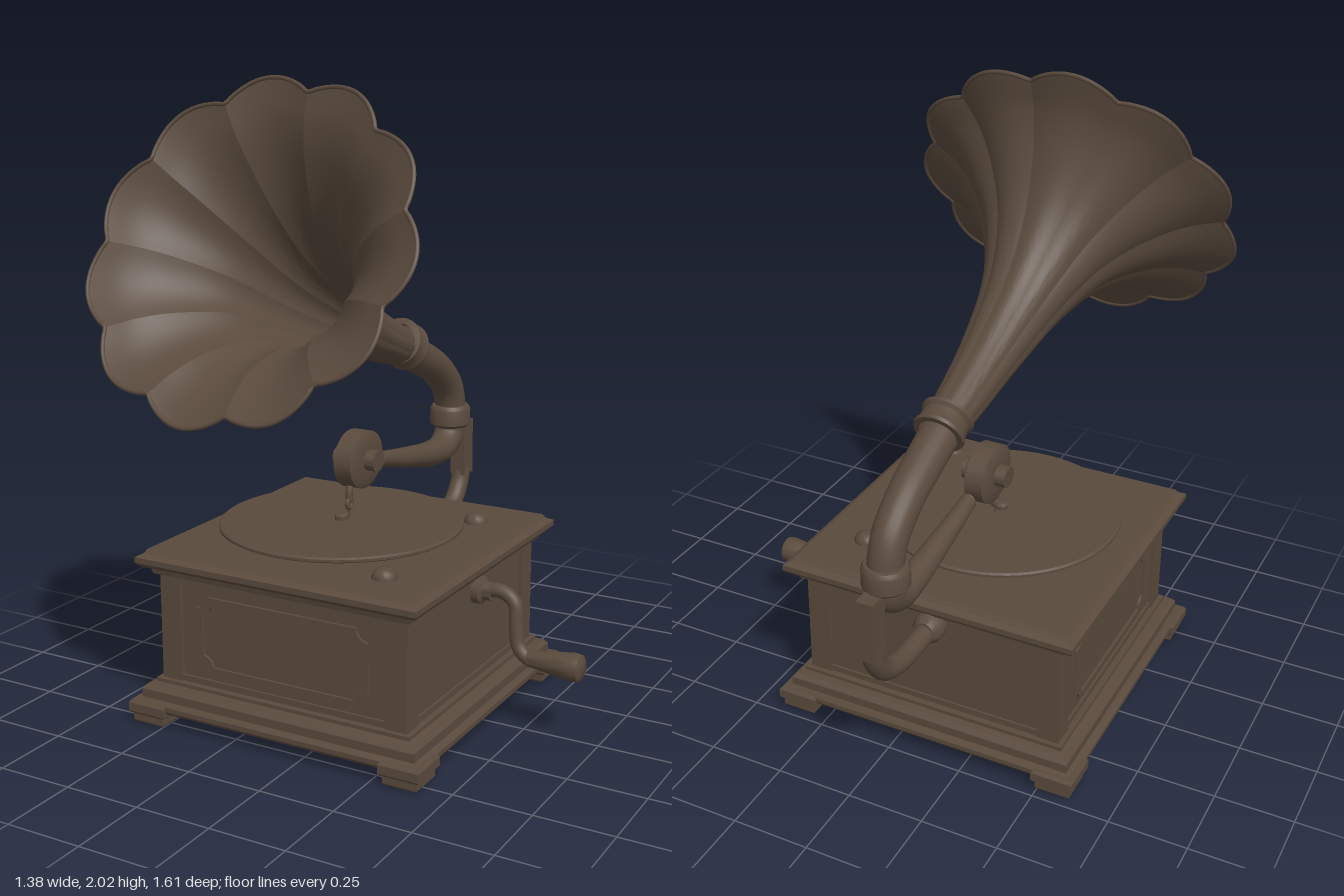
import * as THREE from 'three';
import { toCreasedNormals } from 'three/addons/utils/BufferGeometryUtils.js';

const CX = -0.1, CZ = 0.04; // centre of the cabinet
const V = (x, y, z) => new THREE.Vector3(x, y, z);

export function createModel() {
  const model = new THREE.Group();
  const brown = new THREE.MeshStandardMaterial({ color: 0x5a4a3d, side: THREE.DoubleSide });
  brown.name = 'dark brown';

  const add = (name, geo, x = 0, y = 0, z = 0, parent = model) => {
    const m = new THREE.Mesh(geo, brown);
    m.name = name;
    m.position.set(x, y, z);
    parent.add(m);
    return m;
  };
  const box = (w, h, d) => new THREE.BoxGeometry(w, h, d);
  const turned = (pts, n = 32) => toCreasedNormals(
    new THREE.LatheGeometry(pts.map(p => new THREE.Vector2(p[0], p[1])), n), 0.6);
  // Square moulding: profile of [half width, height]
  const square = pts => toCreasedNormals(new THREE.LatheGeometry(
    pts.map(p => new THREE.Vector2(p[0] * Math.SQRT2, p[1])), 4).rotateY(Math.PI / 4), 0.4);
  // Tube whose radius follows a rule along its length
  const sweep = (pts, radius, n = 40) => {
    const curve = new THREE.CatmullRomCurve3(pts.map(p => V(...p)));
    const geo = new THREE.TubeGeometry(curve, n, 1, 20);
    const pos = geo.attributes.position, v = V();
    for (let i = 0; i < pos.count; i++) {
      const u = Math.floor(i / 21) / n, c = curve.getPointAt(u);
      v.fromBufferAttribute(pos, i).sub(c).multiplyScalar(radius(u)).add(c);
      pos.setXYZ(i, v.x, v.y, v.z);
    }
    return geo;
  };

  // Cabinet: plinth, body and lid
  add('plinth', square([[0, 0.05], [0.505, 0.05], [0.512, 0.06], [0.512, 0.075], [0.488, 0.082],
    [0.488, 0.11], [0.475, 0.125], [0.455, 0.13], [0.455, 0.142], [0, 0.142]]), CX, 0, CZ);
  add('body', box(0.855, 0.37, 0.855), CX, 0.32, CZ);
  add('lid', square([[0, 0.49], [0.455, 0.49], [0.46, 0.51], [0.485, 0.518], [0.495, 0.53],
    [0.495, 0.548], [0.475, 0.558], [0.465, 0.572], [0, 0.572]]), CX, 0, CZ);
  for (const sx of [-1, 1]) for (const sz of [-1, 1]) {
    add('foot', square([[0, 0], [0.05, 0], [0.057, 0.008], [0.057, 0.03], [0.068, 0.04],
      [0.068, 0.068], [0.06, 0.078], [0, 0.078]]), CX + sx * 0.452, 0, CZ + sz * 0.452);
    add('cornerPost', box(0.075, 0.36, 0.075), CX + sx * 0.402, 0.315, CZ + sz * 0.402);
  }

  // Decorated panels
  const notched = (w, h, r, S) => {
    const s = new S();
    s.moveTo(-w + r, -h).lineTo(w - r, -h);
    s.absarc(w, -h, r, Math.PI, Math.PI / 2, true);
    s.lineTo(w, h - r);
    s.absarc(w, h, r, -Math.PI / 2, -Math.PI, true);
    s.lineTo(-w + r, h);
    s.absarc(-w, h, r, 0, -Math.PI / 2, true);
    s.lineTo(-w, -h + r);
    s.absarc(-w, -h, r, Math.PI / 2, 0, true);
    return s;
  };
  const frame = notched(0.305, 0.125, 0.04, THREE.Shape);
  frame.holes.push(notched(0.285, 0.105, 0.035, THREE.Path));
  const frameGeo = new THREE.ExtrudeGeometry(frame, { depth: 0.009, bevelEnabled: false, curveSegments: 6 });
  for (let k = 0; k < 4; k++) {
    const side = new THREE.Group();
    side.name = 'cabinetSide';
    side.position.set(CX, 0, CZ);
    side.rotation.y = k * Math.PI / 2;
    model.add(side);
    add('topRail', box(0.74, 0.025, 0.02), 0, 0.48, 0.425, side);
    add('bottomRail', box(0.74, 0.025, 0.02), 0, 0.15, 0.425, side);
    if (k === 0 || k === 3) add('panelFrame', frameGeo, 0, 0.312, 0.427, side);
  }

  // Turntable and control knobs
  add('turntableHub', turned([[0, 0.57], [0.09, 0.57], [0.09, 0.602], [0, 0.602]]), -0.12, 0, 0.07);
  add('turntable', turned([[0, 0.6], [0.385, 0.6], [0.392, 0.604], [0.392, 0.612], [0.385, 0.617],
    [0, 0.617]], 64), -0.12, 0, 0.07);
  add('spindle', turned([[0, 0.61], [0.022, 0.61], [0.022, 0.63], [0.012, 0.637], [0, 0.637]], 16), -0.12, 0, 0.07);
  for (const z of [-0.24, 0.38])
    add('knob', turned([[0, 0.57], [0.04, 0.57], [0.04, 0.578], [0.034, 0.592], [0.02, 0.602], [0, 0.604]], 24), 0.21, 0, z);

  // Horn: petalled flare, rows of [distance from mouth, sideways shift, radius]
  const profile = new THREE.CatmullRomCurve3([[-0.98, 0.045, 0.062], [-0.92, 0.033, 0.07], [-0.66, 0, 0.097],
    [-0.42, -0.012, 0.143], [-0.24, -0.004, 0.22], [-0.105, 0, 0.34], [-0.04, 0, 0.435], [0, 0, 0.54]]
    .map(p => V(...p)));
  const PETALS = 11, PER = 12, COLS = PETALS * PER, ROWS = 48;
  const hornPoint = (u, a) => {
    const p = profile.getPoint(u);
    const arch = Math.abs(Math.cos(PETALS / 2 * a));
    const k = 0.03 + 0.055 * u * u;
    const r = p.z * (1 - k * (1 - arch));
    const th = a + 0.157, w = p.y + r * Math.cos(th);
    return V(-0.145 - p.x * 0.03 - r * Math.sin(th), 1.54 + 0.48 * p.x + 0.878 * w, 0.545 + 0.878 * p.x - 0.48 * w);
  };
  const pos = [], idx = [];
  for (let j = 0; j <= ROWS; j++) for (let i = 0; i <= COLS; i++)
    pos.push(...hornPoint(j / ROWS, (i + PER / 2) / COLS * Math.PI * 2).toArray());
  for (let j = 0; j < ROWS; j++) for (let i = 0; i < COLS; i++) {
    const a = j * (COLS + 1) + i, b = a + COLS + 1;
    idx.push(a, b, a + 1, a + 1, b, b + 1);
  }
  const horn = new THREE.BufferGeometry();
  horn.setAttribute('position', new THREE.Float32BufferAttribute(pos, 3));
  horn.setIndex(idx);
  add('horn', toCreasedNormals(horn, 0.3));
  const rim = [];
  for (let i = 0; i < COLS; i++) rim.push(hornPoint(1, i / COLS * Math.PI * 2));
  add('hornRim', new THREE.TubeGeometry(new THREE.CatmullRomCurve3(rim, true), COLS * 2, 0.007, 6, true));

  // Neck elbow with its two collars
  add('hornNeck', sweep([[-0.117, 1.12, -0.3], [-0.115, 1.06, -0.44], [-0.114, 0.995, -0.57], [-0.113, 0.92, -0.655],
    [-0.112, 0.84, -0.685], [-0.112, 0.77, -0.685]], u => 0.062 - 0.008 * u));
  const ring = add('neckCollar', turned([[0.06, -0.04], [0.078, -0.04], [0.082, -0.03], [0.076, -0.02], [0.073, 0.015],
    [0.082, 0.025], [0.082, 0.035], [0.06, 0.04]]), -0.117, 1.12, -0.335);
  ring.quaternion.setFromUnitVectors(V(0, 1, 0), V(0, 0.44, 0.9).normalize());
  add('elbowCollar', turned([[0, 0.765], [0.062, 0.765], [0.072, 0.775], [0.072, 0.83], [0.064, 0.842], [0.05, 0.845]]),
    -0.112, 0, -0.685);

  // Tone arm
  add('toneArm', sweep([[-0.112, 0.79, -0.685], [-0.112, 0.735, -0.675], [-0.112, 0.698, -0.62], [-0.112, 0.695, -0.53],
    [-0.112, 0.725, -0.34], [-0.112, 0.762, -0.16]], u => 0.056 - 0.03 * u));
  add('toneArmTip', new THREE.SphereGeometry(0.026, 16, 12).scale(1, 1, 0.3), -0.112, 0.762, -0.16);

  // Sound box with its needle
  const sound = add('soundBox', turned([[0, -0.075], [0.036, -0.075], [0.036, -0.04], [0.08, -0.04], [0.1, -0.03],
    [0.1, 0.03], [0.08, 0.04], [0.036, 0.04], [0.036, 0.075], [0, 0.075]], 40), -0.112, 0.797, -0.025);
  sound.rotation.z = -Math.PI / 2;
  sound.scale.set(0.94, 1, 1.07);
  add('needleArm', sweep([[-0.112, 0.74, 0.02], [-0.112, 0.7, 0.035], [-0.112, 0.67, 0.035]], () => 0.012, 8));
  add('needleRing', new THREE.TorusGeometry(0.016, 0.007, 8, 16).rotateY(Math.PI / 2), -0.112, 0.662, 0.035);
  add('needle', new THREE.CylinderGeometry(0.005, 0.003, 0.04, 8), -0.112, 0.637, 0.035);

  // Rear support arm
  add('supportBlock', box(0.055, 0.2, 0.07), -0.103, 0.67, -0.763);
  add('supportArm', sweep([[-0.103, 0.59, -0.763], [-0.103, 0.535, -0.745], [-0.103, 0.475, -0.695],
    [-0.103, 0.443, -0.61], [-0.103, 0.438, -0.5], [-0.103, 0.445, -0.39]], () => 0.033));
  add('supportFlange', turned([[0, -0.05], [0.036, -0.05], [0.05, -0.025], [0.05, 0.02], [0, 0.02]], 24)
    .rotateX(Math.PI / 2), -0.103, 0.445, -0.4);

  // Winding crank
  add('crankMount', turned([[0, -0.02], [0.045, -0.02], [0.045, 0.012], [0.03, 0.02], [0.03, 0.045], [0, 0.045]], 24)
    .rotateZ(-Math.PI / 2), 0.34, 0.437, 0);
  add('crankArm', sweep([[0.34, 0.437, 0], [0.42, 0.443, 0], [0.463, 0.415, 0.004], [0.472, 0.345, 0.01],
    [0.483, 0.28, 0.015], [0.515, 0.25, 0.018], [0.56, 0.25, 0.02]], () => 0.023));
  add('crankHandle', turned([[0, 0], [0.026, 0], [0.028, 0.02], [0.04, 0.11], [0.045, 0.15], [0.042, 0.172],
    [0.03, 0.18], [0, 0.18]], 24).rotateZ(-Math.PI / 2), 0.52, 0.25, 0.02);
  return model;
}
